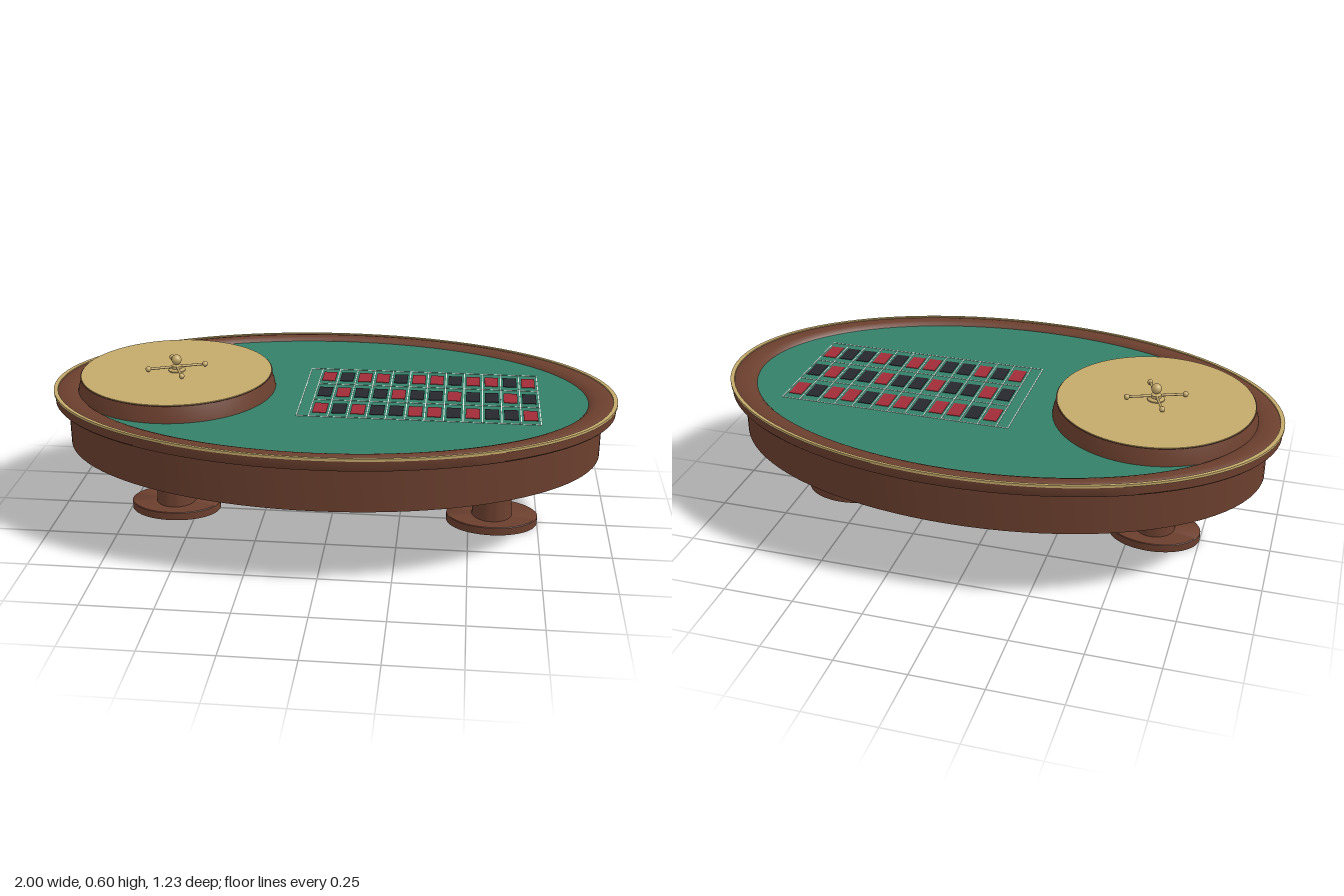
import * as THREE from 'three';
import { toCreasedNormals } from 'three/addons/utils/BufferGeometryUtils.js';

const OVAL = 0.615; // depth of the table top relative to its width
const WHEEL_X = -0.56;
const FELT_Y = 0.48;

const mat = (color) => new THREE.MeshStandardMaterial({ color });
const wood = mat(0x6b3f2e);
const brass = mat(0xc4a96b);
const felt = mat(0x35806a);
const red = mat(0xa02c38);
const black = mat(0x26282e);
const white = mat(0xdde5e0);

function add(parent, name, geometry, material, x = 0, y = 0, z = 0) {
  const mesh = new THREE.Mesh(geometry, material);
  mesh.name = name;
  mesh.position.set(x, y, z);
  parent.add(mesh);
  return mesh;
}

// Turned shape from [radius, height] pairs, optionally squeezed to an oval
function turned(points, squeeze = 1, segments = 96) {
  const g = new THREE.LatheGeometry(points.map(([r, y]) => new THREE.Vector2(r, y)), segments);
  g.scale(1, 1, squeeze);
  return toCreasedNormals(g, 0.6);
}

function buildTable(parent) {
  add(parent, 'tableBody', turned([[0, 0.295], [0.95, 0.295], [0.95, 0.455]], OVAL), wood);
  add(parent, 'rim', turned([
    [0.94, 0.45], [0.99, 0.45], [0.995, 0.455], [0.995, 0.485], [0.985, 0.491],
    [0.96, 0.495], [0.93, 0.494], [0.91, 0.489], [0.9, 0.48], [0.9, 0.46],
  ], OVAL), wood);
  add(parent, 'rimTrim', turned([
    [0.985, 0.486], [1, 0.486], [1, 0.495], [0.985, 0.495], [0.985, 0.486],
  ], OVAL), brass);
  add(parent, 'felt', turned([[0.91, FELT_Y - 0.02], [0.91, FELT_Y], [0, FELT_Y]], OVAL), felt);
}

function buildLeg(x) {
  const leg = new THREE.Group();
  leg.name = 'pedestal';
  leg.position.x = x;
  add(leg, 'foot', turned([[0, 0], [0.165, 0], [0.165, 0.028], [0.162, 0.03], [0, 0.03]], 0.73, 48), wood);
  add(leg, 'column', turned([[0.073, 0.028], [0.053, 0.29]], 1, 48), wood);
  add(leg, 'collar', turned([[0.05, 0.284], [0.08, 0.284], [0.085, 0.288], [0.085, 0.296]], 1, 48), brass);
  return leg;
}

function buildWheel() {
  const wheel = new THREE.Group();
  wheel.name = 'wheel';
  wheel.position.x = WHEEL_X;
  add(wheel, 'wheelBowl', turned([[0.355, 0.47], [0.35, 0.497], [0.337, 0.535], [0.342, 0.538], [0.33, 0.54]]), wood);
  add(wheel, 'wheelPlate', turned([[0.339, 0.536], [0.339, 0.541], [0, 0.541]]), brass);

  // Turret with ball finial and four knobbed spokes
  add(wheel, 'hub', turned([
    [0.03, 0.54], [0.03, 0.545], [0.018, 0.55], [0.018, 0.56], [0.008, 0.565], [0.008, 0.575],
  ], 1, 32), brass);
  add(wheel, 'finial', new THREE.SphereGeometry(0.018, 24, 16), brass, 0, 0.582, 0);
  const spokes = new THREE.Group();
  spokes.name = 'spokes';
  spokes.position.y = 0.556;
  spokes.rotation.y = 0.38;
  wheel.add(spokes);
  for (let i = 0; i < 4; i++) {
    const arm = new THREE.Group();
    arm.name = 'spoke';
    arm.rotation.y = (i * Math.PI) / 2;
    const rod = new THREE.CylinderGeometry(0.0045, 0.0045, 0.1, 12).rotateZ(Math.PI / 2);
    add(arm, 'rod', rod, brass, 0.05, 0, 0);
    add(arm, 'knob', new THREE.SphereGeometry(0.01, 16, 12), brass, 0.102, 0, 0);
    spokes.add(arm);
  }
  return wheel;
}

// Betting grid: 12 columns by 3 rows of coloured cells, framed by thin lines
function buildLayout() {
  const layout = new THREE.Group();
  layout.name = 'bettingLayout';
  layout.position.y = FELT_Y + 0.001;
  const reds = new Set([1, 3, 5, 7, 9, 12, 14, 16, 18, 19, 21, 23, 25, 27, 30, 32, 34, 36]);
  const step = 0.0655, rowStep = 0.156, x0 = -0.058, half = rowStep * 1.5;
  const cell = new THREE.BoxGeometry(0.048, 0.002, 0.088);
  for (let col = 0; col < 12; col++) {
    for (let row = 0; row < 3; row++) {
      const value = col * 3 + 3 - row;
      add(layout, 'cell', cell, reds.has(value) ? red : black,
        x0 + (col + 0.5) * step, 0, (row - 1) * rowStep);
    }
  }
  const line = (x, z, w, d) => add(layout, 'line', new THREE.BoxGeometry(w, 0.0015, d), white, x, 0, z);
  const end = x0 + 12 * step, start = -0.1, t = 0.003;
  for (let col = 0; col <= 12; col++) line(x0 + col * step, 0, t, 2 * half);
  line(start, 0, t, 2 * half);
  for (const z of [-half, half]) line((start + end) / 2, z, end - start, t);
  for (const z of [-rowStep / 2, rowStep / 2]) line((x0 + end) / 2, z, end - x0, t);
  return layout;
}

export function createModel() {
  const model = new THREE.Group();
  model.name = 'rouletteTable';
  buildTable(model);
  for (const side of [-1, 1]) model.add(buildLeg(side * 0.585));
  model.add(buildWheel(), buildLayout());
  return model;
}
